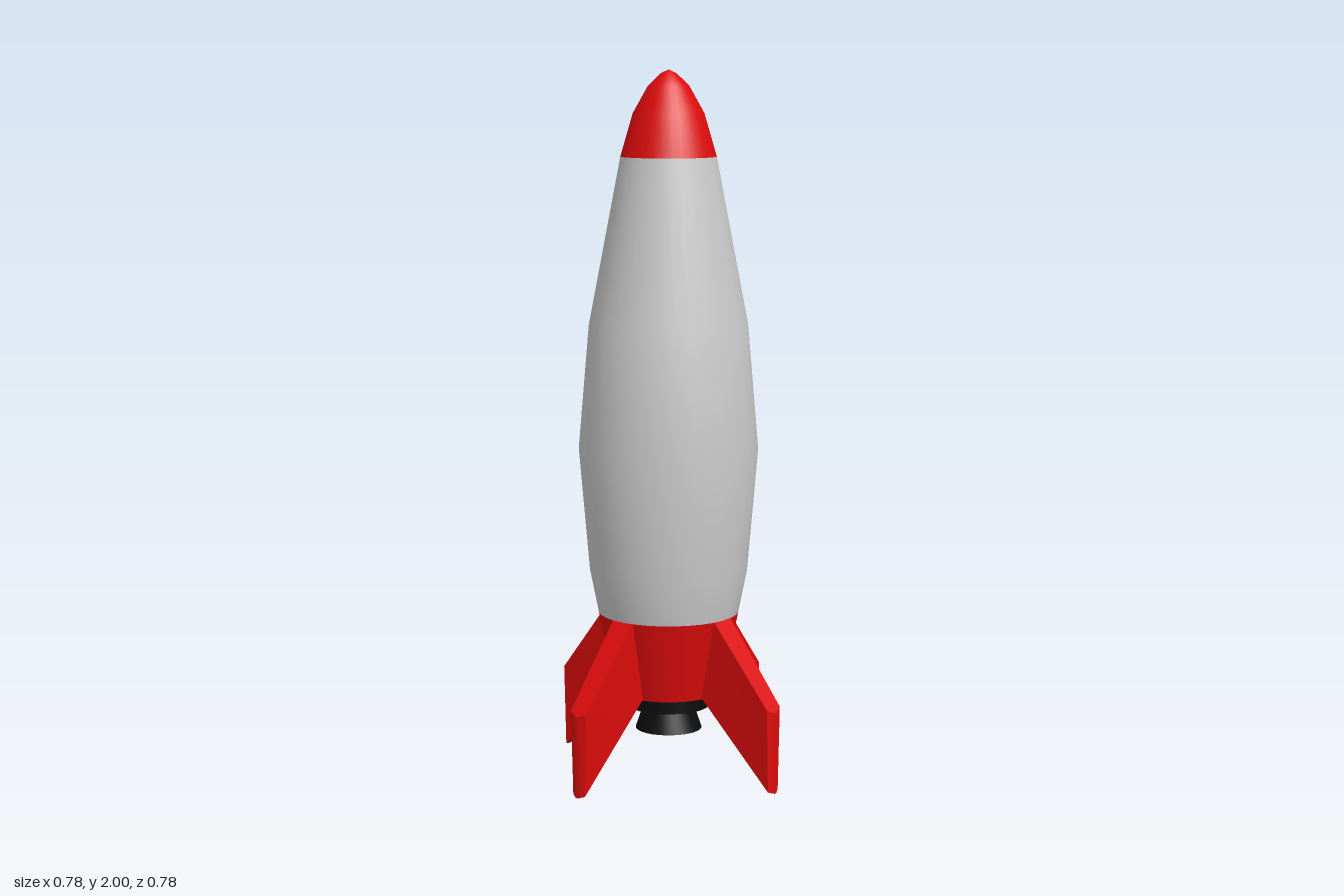
import * as THREE from 'three';
import { toCreasedNormals } from 'three/addons/utils/BufferGeometryUtils.js';

const SIDES = 32;
const grey = new THREE.MeshStandardMaterial({ color: 0xcccccc });
const red = new THREE.MeshStandardMaterial({ color: 0xdd0c0c });
const black = new THREE.MeshStandardMaterial({ color: 0x0c0c0c });

// Turned part from [radius, y] points listed bottom to top
function turned(name, points, material, crease) {
  let geometry = new THREE.LatheGeometry(points.map(([r, y]) => new THREE.Vector2(r, y)), SIDES);
  if (crease) geometry = toCreasedNormals(geometry, crease);
  const mesh = new THREE.Mesh(geometry, material);
  mesh.name = name;
  return mesh;
}

// Fin pointing along +x, lofted through four-cornered sections:
// top [x, y, half width], bottom [x, y, half width]
function finGeometry() {
  const sections = [
    [[0.15, 0.46, 0.036], [0.12, 0.238, 0.036]],
    [[0.2, 0.465, 0.036], [0.155, 0.236, 0.034]],
    [[0.383, 0.243, 0.029], [0.383, 0.006, 0.022]],
    [[0.392, 0.232, 0.004], [0.392, 0, 0.004]],
  ];
  const positions = [], index = [];
  for (const [top, bottom] of sections) {
    for (const [p, s] of [[top, 1], [top, -1], [bottom, -1], [bottom, 1]]) {
      positions.push(p[0], p[1], s * p[2]);
    }
  }
  for (let i = 0; i < sections.length - 1; i++) {
    for (let j = 0; j < 4; j++) {
      const a = i * 4 + j, b = i * 4 + (j + 1) % 4;
      index.push(a, a + 4, b, b, a + 4, b + 4);
    }
  }
  const e = (sections.length - 1) * 4;
  index.push(0, 1, 2, 0, 2, 3, e, e + 2, e + 1, e, e + 3, e + 2);
  const geometry = new THREE.BufferGeometry();
  geometry.setAttribute('position', new THREE.Float32BufferAttribute(positions, 3));
  geometry.setIndex(index);
  return toCreasedNormals(geometry, 0.5);
}

export function createModel() {
  const rocket = new THREE.Group();
  rocket.name = 'rocket';

  // Hull: red tail, grey body, red nose
  rocket.add(
    turned('tail', [[0, 0.235], [0.155, 0.235], [0.2, 0.465]], red, 0.6),
    turned('body', [[0.2, 0.465], [0.225, 0.59], [0.255, 0.94], [0.225, 1.29], [0.135, 1.76]], grey),
    turned('noseCone', [[0.135, 1.76], [0.1, 1.88], [0.058, 1.955], [0.022, 1.99], [0, 2]], red),
  );

  // Engine: collar and flared, hollow nozzle
  rocket.add(
    turned('engineCollar', [[0, 0.19], [0.118, 0.19], [0.118, 0.24]], black, 0.6),
    turned('nozzle', [[0, 0.17], [0.05, 0.17], [0.085, 0.122], [0.095, 0.122], [0.07, 0.195]], black, 0.6),
  );

  // Four fins around the tail
  const geometry = finGeometry();
  const fins = new THREE.Group();
  fins.name = 'fins';
  ['leftFin', 'backFin', 'rightFin', 'frontFin'].forEach((name, i) => {
    const fin = new THREE.Mesh(geometry, red);
    fin.name = name;
    fin.rotation.y = i * Math.PI / 2;
    fins.add(fin);
  });
  rocket.add(fins);
  return rocket;
}
